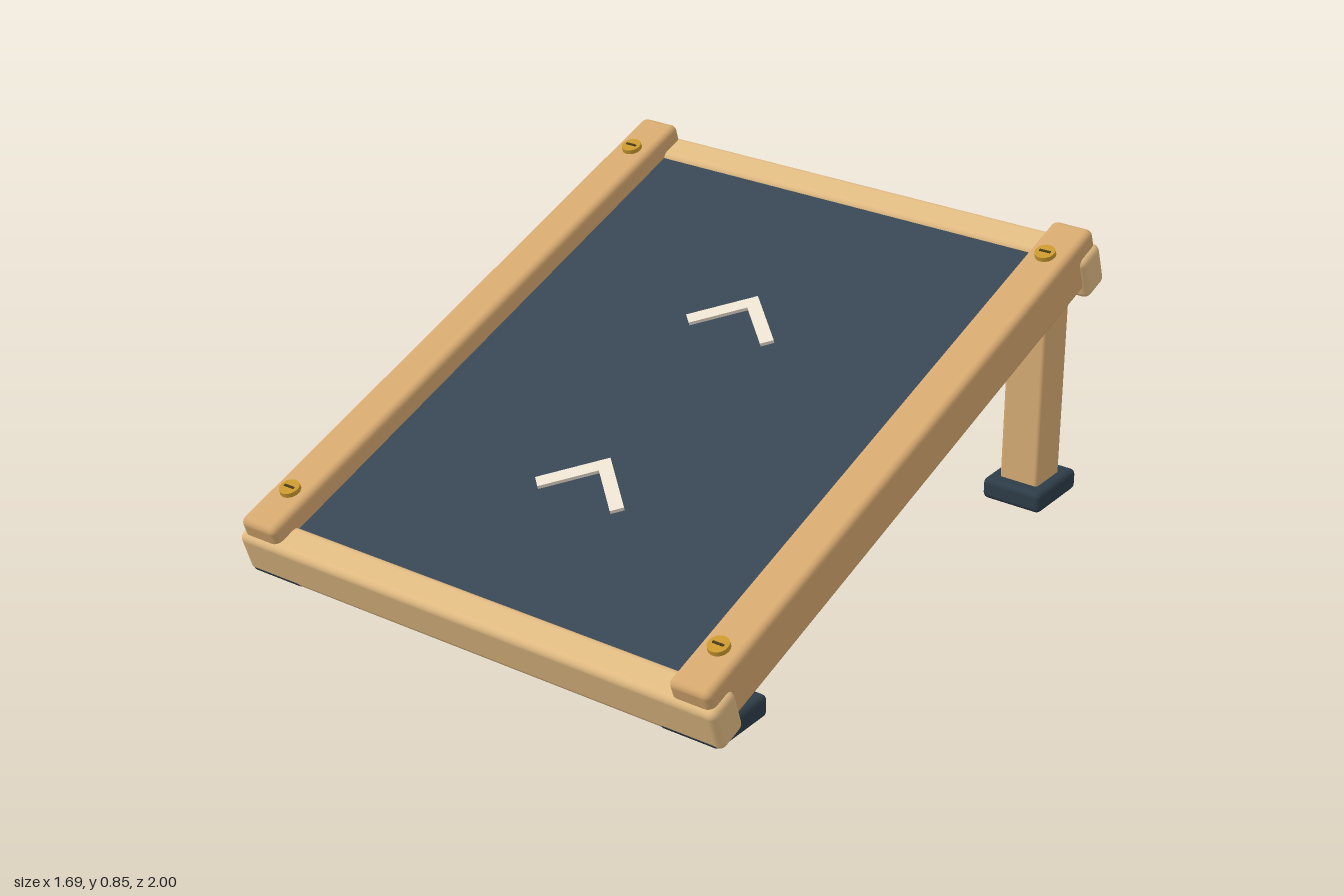
import * as THREE from 'three';
import { RoundedBoxGeometry } from 'three/addons/geometries/RoundedBoxGeometry.js';

const paint = (color) => new THREE.MeshStandardMaterial({ color });
const railWood = paint(0xd4a76e);
const barWood = paint(0xe0ba82);
const legWood = paint(0xd6ab73);
const slate = paint(0x374653);
const rubber = paint(0x2d3c48);
const cream = paint(0xebe1d0);
const brass = paint(0xc8982f);
const dark = paint(0x4a3a1c);

function add(parent, name, geometry, material, x, y, z) {
  const mesh = new THREE.Mesh(geometry, material);
  mesh.name = name;
  mesh.position.set(x, y, z);
  parent.add(mesh);
  return mesh;
}

const rounded = (w, h, d, r) => new RoundedBoxGeometry(w, h, d, 3, r);

// Flat arrow mark lying in the xz plane, apex towards -z at the origin
function chevronGeometry() {
  const shape = new THREE.Shape([
    [0, 0], [0.16, -0.155], [0.13, -0.184], [0, -0.058], [-0.13, -0.184], [-0.16, -0.155],
  ].map(([x, y]) => new THREE.Vector2(x, y)));
  const geometry = new THREE.ExtrudeGeometry(shape, { depth: 0.012, bevelEnabled: false });
  return geometry.rotateX(-Math.PI / 2);
}

// Round bolt with a shank, a wider head and a slot
function createBolt() {
  const bolt = new THREE.Group();
  bolt.name = 'bolt';
  add(bolt, 'boltShank', new THREE.CylinderGeometry(0.02, 0.02, 0.03, 24), brass, 0, 0, 0);
  add(bolt, 'boltHead', new THREE.CylinderGeometry(0.031, 0.032, 0.014, 24), brass, 0, 0.014, 0);
  add(bolt, 'boltSlot', new THREE.BoxGeometry(0.036, 0.006, 0.007), dark, 0, 0.021, 0);
  return bolt;
}

export function createModel() {
  const model = new THREE.Group();
  model.name = 'slopedRamp';

  // Tilted deck: side rails, cross bars, panel, marks and bolts
  const deck = new THREE.Group();
  deck.name = 'deck';
  deck.position.set(0, 0.443, 0.006);
  deck.rotation.x = 0.33;
  model.add(deck);

  add(deck, 'panel', new THREE.BoxGeometry(1.42, 0.064, 1.9), slate, 0, -0.019, 0);
  for (const [name, z] of [['frontCrossBar', 0.986], ['backCrossBar', -0.978]]) {
    add(deck, name, rounded(1.69, 0.144, 0.108, 0.024), barWood, 0, -0.046, z);
  }
  for (const z of [-0.44, 0.332]) {
    add(deck, 'chevron', chevronGeometry(), cream, 0, 0.012, z);
  }

  for (const [side, s] of [['left', 1], ['right', -1]]) {
    add(deck, `${side}Rail`, rounded(0.135, 0.164, 2.052, 0.022), railWood, s * 0.7625, -0.002, -0.001);
    for (const z of [-0.861, 0.868]) {
      const bolt = createBolt();
      bolt.position.set(s * 0.76, 0.076, z);
      deck.add(bolt);
    }

    // Upright back leg and rubber feet
    add(model, `${side}BackLeg`, rounded(0.13, 0.62, 0.136, 0.012), legWood, s * 0.735, 0.36, -0.805);
    for (const [end, z] of [['Front', 0.845], ['Back', -0.808]]) {
      add(model, `${side}${end}Foot`, rounded(0.2, 0.068, 0.227, 0.018), rubber, s * 0.735, 0.034, z);
    }
  }
  return model;
}
